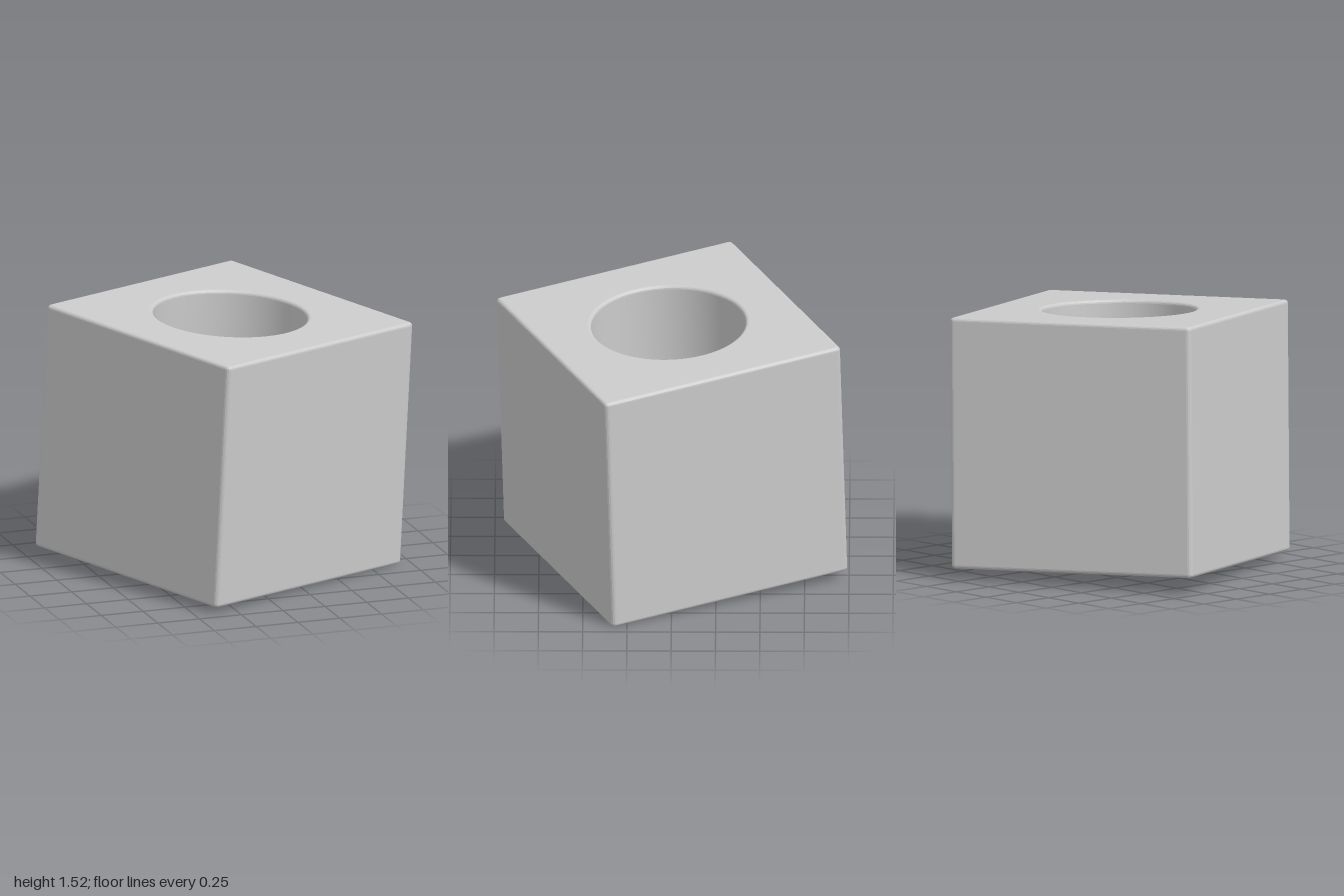
import * as THREE from 'three';
import { toCreasedNormals } from 'three/addons/utils/BufferGeometryUtils.js';

const SIDE = 1.47, HEIGHT = 1.425, HOLE = 0.436, FILLET = 0.02, CORNER = 0.026;

// square outline with small rounded corners
function roundedSquare(side, r, steps) {
  const pts = [], c = side / 2 - r;
  [[1, 1], [-1, 1], [-1, -1], [1, -1]].forEach(([sx, sy], k) => {
    for (let i = 0; i <= steps; i++) {
      const a = (k + i / steps) * Math.PI / 2;
      pts.push(new THREE.Vector2(sx * c + r * Math.cos(a), sy * c + r * Math.sin(a)));
    }
  });
  return new THREE.Shape(pts);
}

export function createModel() {
  const group = new THREE.Group();
  group.name = 'boredBlock';

  // block with a round bore running through it
  const outline = roundedSquare(SIDE, CORNER, 4);
  outline.holes.push(new THREE.Path().absarc(0, 0, HOLE, 0, Math.PI * 2, true));
  const depth = HEIGHT - 2 * FILLET;
  const geometry = new THREE.ExtrudeGeometry(outline, {
    depth, curveSegments: 48, bevelEnabled: true, bevelSegments: 4,
    bevelSize: FILLET, bevelThickness: FILLET, bevelOffset: -FILLET,
  });
  geometry.translate(0, 0, -depth / 2);
  geometry.rotateX(-Math.PI / 2);

  const block = new THREE.Mesh(
    toCreasedNormals(geometry, 0.15),
    new THREE.MeshStandardMaterial({ color: 0xcccccc })
  );
  block.name = 'block';

  // the block is turned and slightly tilted
  const up = new THREE.Vector3(0.042, 1, 0.029).normalize();
  const zAxis = new THREE.Vector3(0.425, -0.0445, 0.905);
  zAxis.addScaledVector(up, -zAxis.dot(up)).normalize();
  const xAxis = new THREE.Vector3().crossVectors(up, zAxis);
  block.quaternion.setFromRotationMatrix(new THREE.Matrix4().makeBasis(xAxis, up, zAxis));
  block.position.y = 0.763;

  group.add(block);
  return group;
}
